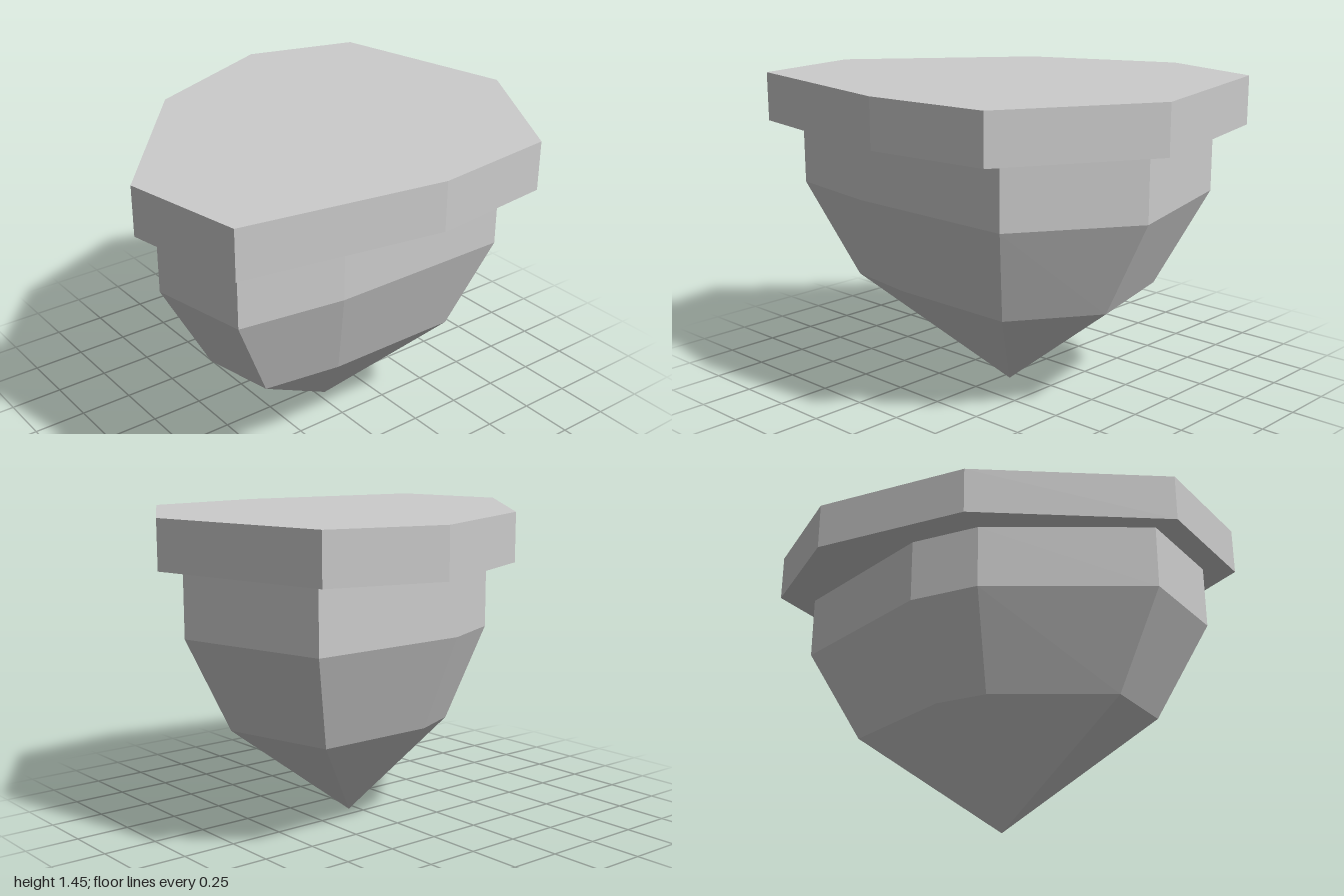
import * as THREE from 'three';

// Closed, flat-faceted loft through level rings listed bottom to top.
// A ring is { y, pts: [[x, z], ...] }; a ring of identical points makes a tip.
function loft(rings) {
  const pos = [];
  const n = rings[0].pts.length;
  const corner = (ring, i) => {
    const [x, z] = ring.pts[i % n];
    return [x, ring.y, z];
  };
  const tri = (...corners) => corners.forEach((c) => pos.push(...c));

  for (let r = 0; r < rings.length - 1; r++) {
    const lo = rings[r], hi = rings[r + 1];
    for (let i = 0; i < n; i++) {
      if (!lo.tip) tri(corner(lo, i), corner(hi, i + 1), corner(lo, i + 1));
      tri(corner(lo, i), corner(hi, i), corner(hi, i + 1));
    }
  }
  const top = rings[rings.length - 1], bottom = rings[0];
  for (let i = 1; i < n - 1; i++) {
    tri(corner(top, 0), corner(top, i + 1), corner(top, i));
    if (!bottom.tip) tri(corner(bottom, 0), corner(bottom, i), corner(bottom, i + 1));
  }
  const geometry = new THREE.BufferGeometry();
  geometry.setAttribute('position', new THREE.Float32BufferAttribute(pos, 3));
  geometry.computeVertexNormals();
  return geometry;
}

export function createModel() {
  const group = new THREE.Group();
  const material = new THREE.MeshStandardMaterial({ color: 0xcccccc, flatShading: true });
  const add = (name, rings) => {
    const mesh = new THREE.Mesh(loft(rings), material);
    mesh.name = name;
    group.add(mesh);
  };

  // Irregular eight-sided outlines, running from the back round by +x
  const plate = [
    [0.15, -1], [0.81, -0.61], [0.87, -0.02], [0.71, 0.89],
    [0.15, 1], [-0.58, 0.4], [-0.87, -0.28], [-0.72, -0.8],
  ];
  const body = [
    [0.13, -0.89], [0.65, -0.54], [0.65, 0.32], [0.58, 0.8],
    [0.13, 0.89], [-0.45, 0.35], [-0.58, 0.05], [-0.58, -0.71],
  ];
  const waist = body.map(([x, z]) => [0.73 * x + 0.025, 0.74 * z - 0.01]);
  const tip = body.map(() => [0.06, -0.04]);

  // Wide flat slab on top
  add('topPlate', [{ y: 1.22, pts: plate }, { y: 1.445, pts: plate }]);

  // Straight collar, tapering in two steps to a point
  add('taperedBody', [
    { y: 0, pts: tip, tip: true },
    { y: 0.48, pts: waist },
    { y: 0.92, pts: body },
    { y: 1.22, pts: body },
  ]);

  return group;
}
